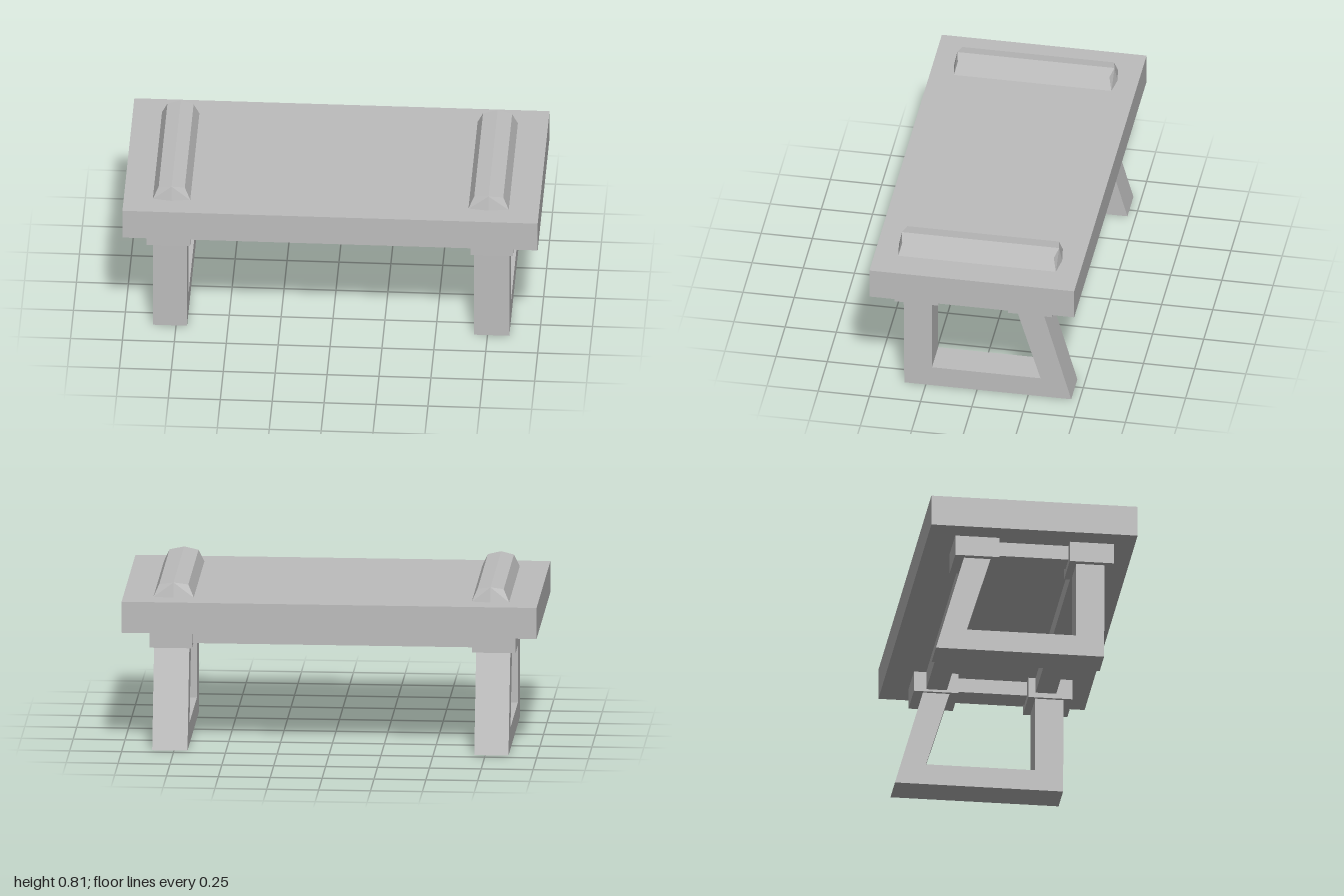
import * as THREE from 'three';
import { ConvexGeometry } from 'three/addons/geometries/ConvexGeometry.js';

export function createModel() {
  const model = new THREE.Group();
  model.name = 'bench';
  const grey = new THREE.MeshStandardMaterial({ color: 0xbdbdbd });
  grey.name = 'plain grey';

  const add = (name, geometry) => {
    const mesh = new THREE.Mesh(geometry, grey);
    mesh.name = name;
    model.add(mesh);
    return mesh;
  };

  // Box given by its lower and upper limits on each axis
  const box = (name, x0, x1, y0, y1, z0, z1) =>
    add(name, new THREE.BoxGeometry(x1 - x0, y1 - y0, z1 - z0))
      .position.set((x0 + x1) / 2, (y0 + y1) / 2, (z0 + z1) / 2);

  // Slab
  box('slab', -1, 1, 0.587, 0.74, -0.5, 0.5);

  // Bevelled bar with a low ridge and slightly pointed ends
  const ring = (cx, halfX, y, ridge, halfZ, point) => {
    const points = [];
    for (const s of [-1, 1]) {
      points.push(new THREE.Vector3(cx, y + ridge, s * (halfZ + point)));
      for (const t of [-1, 1]) points.push(new THREE.Vector3(cx + t * halfX, y, s * halfZ));
    }
    return points;
  };
  const bar = (name, cx, halfX) => add(name, new ConvexGeometry([
    ...ring(cx, halfX, 0.738, 0, 0.385, 0.014),
    ...ring(cx, halfX - 0.028, 0.8, 0.012, 0.37, 0.014),
  ]));
  bar('leftBar', 0.757, 0.098);
  bar('rightBar', -0.77, 0.091);

  // Leg frame: upright front leg, floor runner and raked back leg (shape x is -z)
  const outline = [
    [-0.355, 0], [0.46, 0], [0.323, 0.49], [0.194, 0.49],
    [0.31, 0.105], [-0.22, 0.105], [-0.22, 0.49], [-0.358, 0.49],
  ];
  const legShape = new THREE.Shape(outline.map(([a, b]) => new THREE.Vector2(a, b)));
  const legFrame = (name, x0, x1) => {
    const geometry = new THREE.ExtrudeGeometry(legShape, { depth: x1 - x0, bevelEnabled: false });
    geometry.rotateY(Math.PI / 2);
    add(name, geometry).position.x = x0;
  };
  legFrame('leftLegFrame', 0.685, 0.855);
  legFrame('rightLegFrame', -0.862, -0.697);

  // Corner blocks and the short rail joining each pair
  for (const [side, x0, x1] of [['left', 0.67, 0.875], ['right', -0.89, -0.68]]) {
    box(side + 'FrontBlock', x0, x1, 0.485, 0.588, 0.185, 0.4);
    box(side + 'BackBlock', x0, x1, 0.485, 0.588, -0.37, -0.155);
    box(side + 'SideRail', x0 + 0.05, x1 - 0.05, 0.515, 0.588, -0.16, 0.19);
  }

  // Long rails
  box('frontRail', -0.7, 0.69, 0.51, 0.588, 0.22, 0.32);
  box('backRail', -0.7, 0.69, 0.497, 0.588, -0.31, -0.21);

  return model;
}
